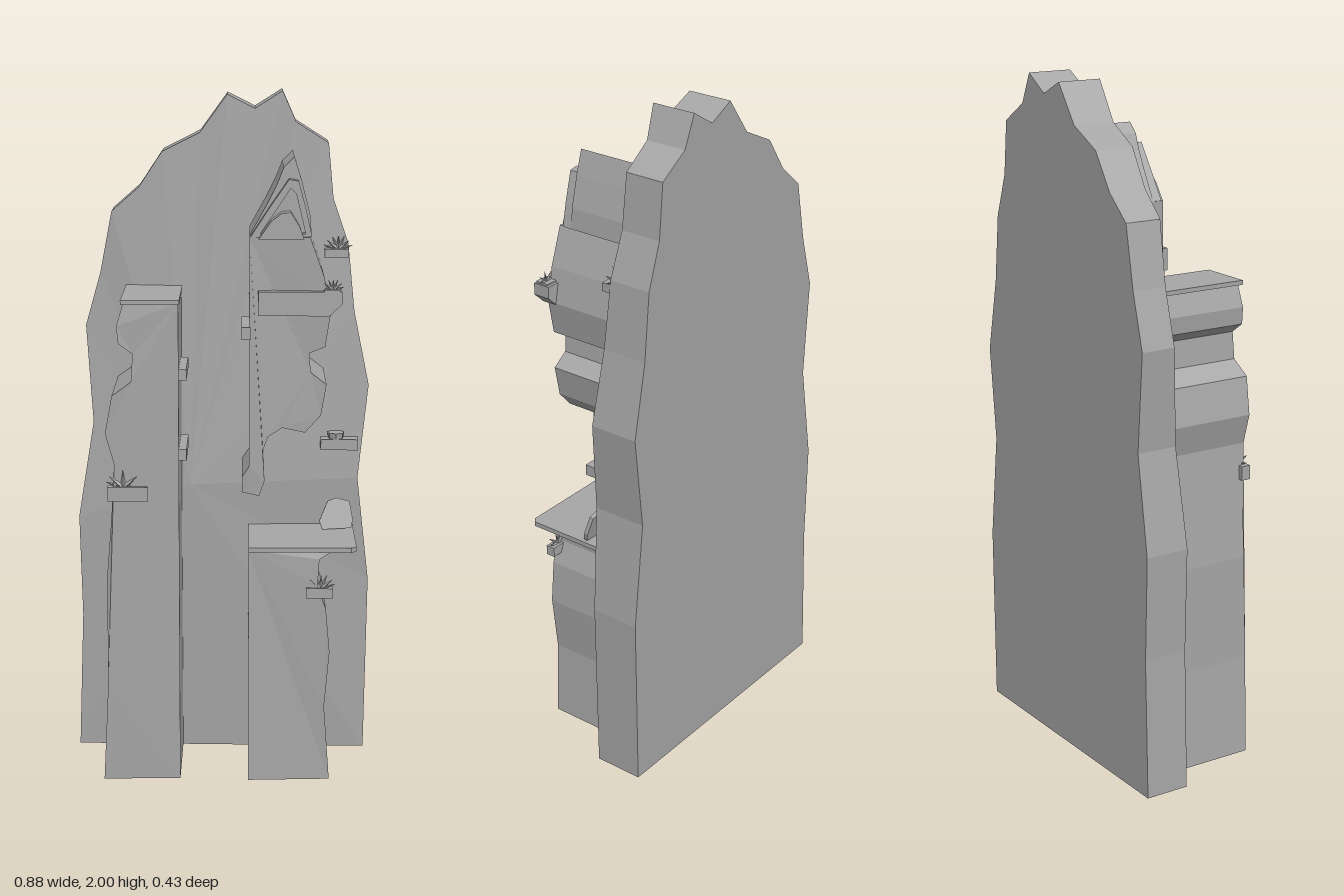
import * as THREE from 'three';

export function createModel() {
  const model = new THREE.Group();
  model.name = 'rockFace';
  const stone = new THREE.MeshStandardMaterial({ color: 0xa6a6a6 });
  stone.name = 'stone grey';

  function add(geometry, name, parent = model) {
    const mesh = new THREE.Mesh(geometry, stone);
    mesh.name = name;
    parent.add(mesh);
    return mesh;
  }
  function box(name, x0, x1, y0, y1, z0, z1, parent) {
    const mesh = add(new THREE.BoxGeometry(x1 - x0, y1 - y0, z1 - z0), name, parent);
    mesh.position.set((x0 + x1) / 2, (y0 + y1) / 2, (z0 + z1) / 2);
    return mesh;
  }
  const toShape = pts => new THREE.Shape(pts.map(p => new THREE.Vector2(p[0], p[1])));

  // Outline pushed through z0..z1, with the front optionally roughened
  function prism(name, pts, z0, z1, rough = 0, hole = null) {
    const shape = toShape(pts);
    if (hole) shape.holes.push(toShape(hole));
    let g = new THREE.ExtrudeGeometry(shape, { depth: z1 - z0, bevelEnabled: false });
    g.translate(0, 0, z0);
    if (g.index) g = g.toNonIndexed();
    const p = g.attributes.position;
    for (let i = 0; i < p.count; i++) {
      if (p.getZ(i) > z1 - 0.001) {
        p.setZ(i, z1 + rough * Math.sin(17 * p.getX(i) + 6 * p.getY(i)));
      }
    }
    g.computeVertexNormals();
    return add(g, name);
  }

  // Tall backing slab: x, y, front z around the edge, counter-clockwise
  const edge = [
    [0.43, 0, -0.065], [0.437, 0.54, -0.065], [0.4, 0.86, -0.05], [0.43, 1.14, -0.065],
    [0.385, 1.36, -0.075], [0.365, 1.56, -0.085], [0.32, 1.69, -0.09], [0.305, 1.85, -0.095],
    [0.21, 1.91, -0.09], [0.17, 2, -0.08], [0.09, 1.95, -0.075], [0.01, 1.99, -0.08],
    [-0.07, 1.88, -0.087], [-0.18, 1.825, -0.095], [-0.25, 1.72, -0.1], [-0.33, 1.65, -0.105],
    [-0.365, 1.47, -0.11], [-0.41, 1.31, -0.11], [-0.39, 1.02, -0.09],
    [-0.437, 0.73, -0.08], [-0.43, 0.42, -0.08], [-0.445, 0, -0.08],
  ];
  const back = -0.215;
  const hub = [-0.1, 0.84, -0.038];
  const slabPoints = [];
  edge.forEach((a, i) => {
    const b = edge[(i + 1) % edge.length];
    const a0 = [a[0], a[1], back], b0 = [b[0], b[1], back];
    slabPoints.push(
      ...hub, ...a, ...b,
      ...a, ...a0, ...b0, ...a, ...b0, ...b,
      hub[0], hub[1], back, ...b0, ...a0);
  });
  const slab = new THREE.BufferGeometry();
  slab.setAttribute('position', new THREE.Float32BufferAttribute(slabPoints, 3));
  slab.computeVertexNormals();
  add(slab, 'backSlab');

  // Left pillar, its cap and side rungs
  prism('leftPillar', [
    [-0.125, 0], [-0.125, 1.425], [-0.28, 1.425], [-0.3, 1.36], [-0.295, 1.31], [-0.255, 1.28],
    [-0.26, 1.2], [-0.315, 1.16], [-0.335, 1.05], [-0.31, 0.96], [-0.32, 0.8], [-0.335, 0.62],
    [-0.335, 0.3], [-0.35, 0],
  ], -0.15, 0.2, 0.007);
  box('leftPillarCap', -0.288, -0.122, 1.422, 1.435, -0.13, 0.208);
  for (const y of [0.97, 1.203]) box('sideRung', -0.13, -0.103, y, y + 0.032, 0, 0.19);

  // Right pillar with its broad shelf
  prism('rightPillar', [
    [0.075, 0], [0.315, 0], [0.298, 0.23], [0.312, 0.4], [0.3, 0.53], [0.275, 0.6], [0.28, 0.68],
    [0.32, 0.705], [0.075, 0.705],
  ], -0.15, 0.2, 0.007);
  const shelf = prism('shelf', [
    [0.075, -0.21], [0.372, -0.21], [0.387, -0.197], [0.387, 0.09], [0.075, 0.09],
  ], 0, 0.014);
  shelf.rotation.x = -Math.PI / 2;
  shelf.position.y = 0.702;

  // Leaning stone on the shelf
  const leaning = prism('leaningStone', [
    [-0.04, 0], [0.045, 0.005], [0.05, 0.03], [0.04, 0.085], [0, 0.095], [-0.025, 0.085],
    [-0.05, 0.025],
  ], -0.006, 0.006);
  leaning.position.set(0.335, 0.716, 0.012);
  leaning.rotation.x = -0.25;

  // Hanging outcrop
  prism('outcrop', [
    [0.075, 1.61], [0.075, 0.95], [0.055, 0.92], [0.055, 0.875], [0.105, 0.865], [0.12, 0.91],
    [0.115, 1.0], [0.13, 1.04], [0.17, 1.065], [0.235, 1.05], [0.28, 1.1], [0.295, 1.19],
    [0.25, 1.225], [0.245, 1.28], [0.29, 1.3], [0.305, 1.4], [0.285, 1.5], [0.245, 1.61],
  ], -0.15, 0.185, 0.006);
  box('outcropRung', 0.053, 0.08, 1.32, 1.355, 0, 0.19);
  prism('peak', [
    [0.075, 1.61], [0.25, 1.61], [0.245, 1.67], [0.222, 1.76], [0.2, 1.83], [0.17, 1.8],
    [0.15, 1.75], [0.125, 1.7],
  ], -0.15, 0.146);
  prism('peakFrame', [
    [0.078, 1.61], [0.25, 1.61], [0.235, 1.68], [0.212, 1.765], [0.185, 1.77], [0.13, 1.69],
  ], 0.14, 0.176, 0, [[0.105, 1.618], [0.16, 1.7], [0.19, 1.745], [0.205, 1.73], [0.232, 1.618]]);
  prism('peakMound', [
    [0.1, 1.605], [0.228, 1.605], [0.215, 1.64], [0.19, 1.68], [0.165, 1.678], [0.135, 1.655],
  ], 0.14, 0.196);
  prism('outcropLedge', [
    [0.1, 1.392], [0.3, 1.392], [0.335, 1.425], [0.335, 1.46], [0.1, 1.46],
  ], 0.162, 0.214);

  // Small brackets carrying spiky tufts
  function tuftBracket(name, x0, x1, y0, y1, z0, z1, tuftX, size) {
    const group = new THREE.Group();
    group.name = name;
    model.add(group);
    box('bracket', x0, x1, y0, y1, z0, z1, group);
    const z = (z0 + z1) / 2;
    for (let i = 0; i < 7; i++) {
      const angle = (i - 3) * 0.42;
      const leaf = new THREE.ConeGeometry(size * 0.17, size, 4).toNonIndexed();
      leaf.translate(0, size / 2, 0);
      leaf.computeVertexNormals();
      const mesh = add(leaf, 'tuftLeaf', group);
      mesh.position.set(tuftX, y1 - 0.004, z);
      mesh.rotation.set(i % 2 ? 0.2 : -0.2, 0, -angle);
    }
  }
  tuftBracket('leftPillarTuft', -0.33, -0.215, 0.853, 0.895, 0.185, 0.214, -0.285, 0.055);
  tuftBracket('rightPillarTuft', 0.242, 0.32, 0.565, 0.595, 0.185, 0.214, 0.285, 0.045);
  tuftBracket('upperSlabTuft', 0.295, 0.365, 1.52, 1.545, -0.1, -0.055, 0.335, 0.045);
  tuftBracket('ledgeTuft', 0.285, 0.33, 1.455, 1.465, 0.17, 0.21, 0.31, 0.035);

  // Bracket with a low pot on the right of the slab
  box('potBracket', 0.288, 0.398, 0.953, 0.985, -0.09, -0.012);
  const pot = add(new THREE.CylinderGeometry(0.026, 0.022, 0.02, 7).toNonIndexed(), 'pot');
  pot.geometry.computeVertexNormals();
  pot.position.set(0.333, 0.993, -0.035);

  return model;
}
